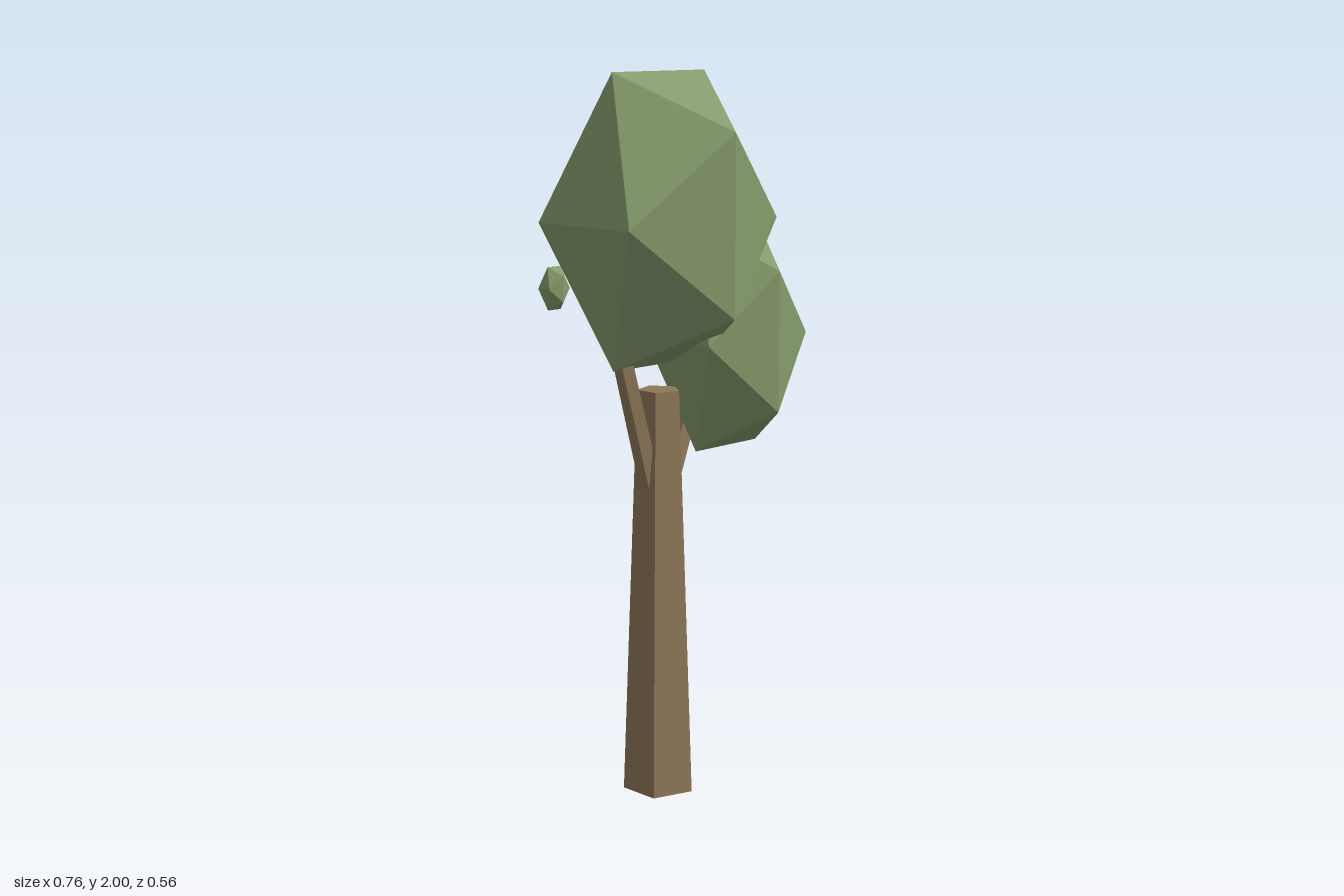
import * as THREE from 'three';

export function createModel() {
  const tree = new THREE.Group();
  tree.name = 'tree';

  const bark = new THREE.MeshStandardMaterial({ color: 0x8f7859, flatShading: true });
  bark.name = 'bark brown';
  const leaf = new THREE.MeshStandardMaterial({ color: 0x859b6c, flatShading: true });
  leaf.name = 'leaf green';

  // Five-sided tapered limb between two points, one corner towards +x
  function limb(name, from, to, rBottom, rTop) {
    const a = new THREE.Vector3(...from);
    const b = new THREE.Vector3(...to);
    const dir = b.clone().sub(a);
    const geo = new THREE.CylinderGeometry(rTop, rBottom, dir.length(), 5, 1, false, Math.PI / 2);
    const mesh = new THREE.Mesh(geo, bark);
    mesh.name = name;
    mesh.position.copy(a).add(b).multiplyScalar(0.5);
    mesh.quaternion.setFromUnitVectors(new THREE.Vector3(0, 1, 0), dir.normalize());
    tree.add(mesh);
  }

  // Faceted leaf clump, stretched upwards
  function clump(name, position, radius, height) {
    const geo = new THREE.IcosahedronGeometry(1, 0);
    geo.scale(radius, height, radius);
    const mesh = new THREE.Mesh(geo, leaf);
    mesh.name = name;
    mesh.position.set(...position);
    tree.add(mesh);
  }

  // Trunk and the two branches that carry the crowns
  limb('trunk', [-0.037, 0, 0], [-0.037, 1.145, 0], 0.102, 0.061);
  limb('rightBranch', [-0.06, 0.85, 0], [-0.19, 1.3, 0], 0.032, 0.028);
  limb('leftBranch', [0, 0.88, 0], [0.11, 1.15, 0], 0.032, 0.026);

  // Foliage
  clump('mainCrown', [-0.036, 1.607, 0], 0.328, 0.462);
  clump('sideCrown', [0.182, 1.276, 0.045], 0.23, 0.3685);
  clump('smallTuft', [-0.342, 1.443, -0.084], 0.042, 0.067);

  return tree;
}
